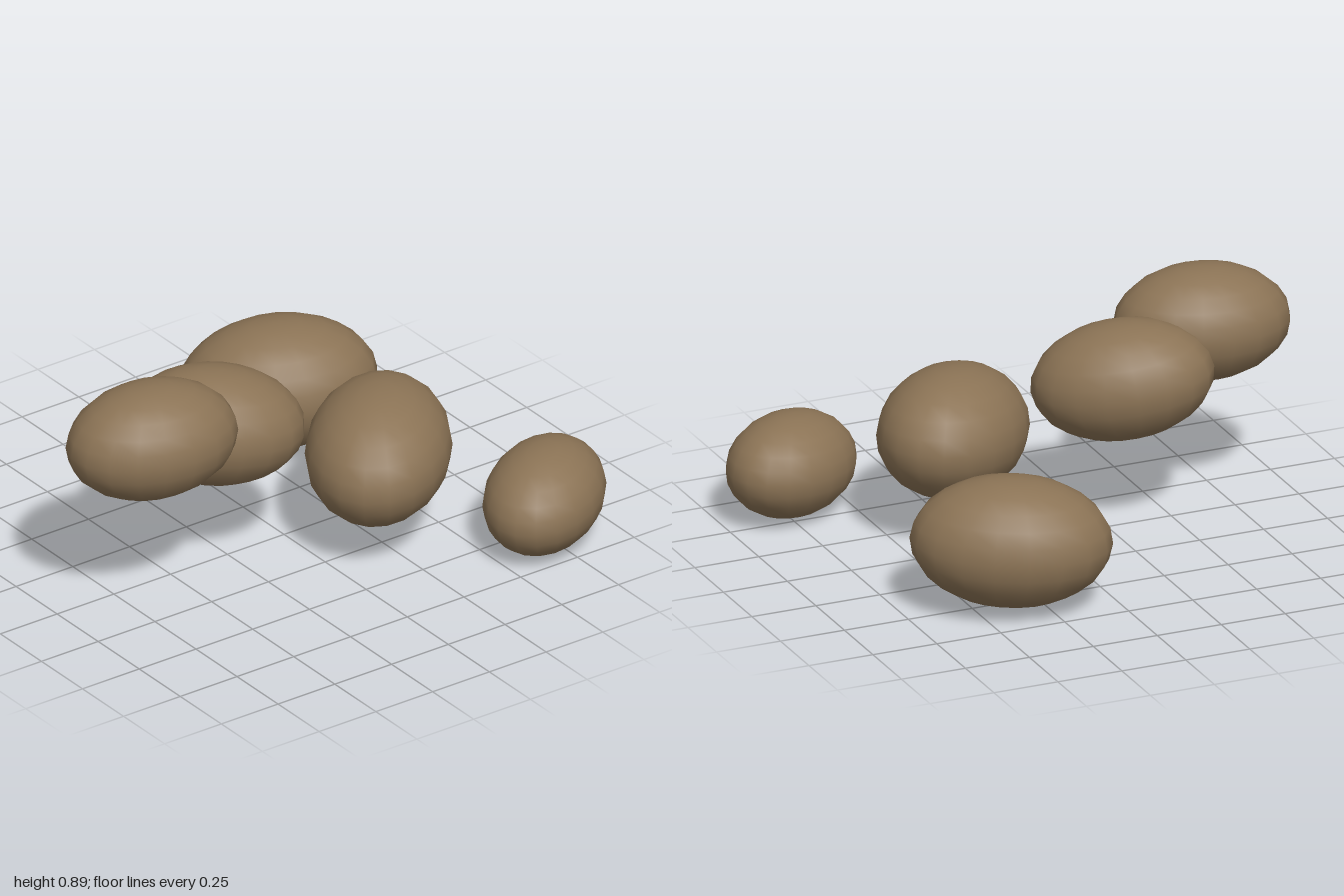
import * as THREE from 'three';

// One squashed pebble shape, repeated with its own place, size, yaw and tilt
const PEBBLES = [
  { pos: [-0.68, 0.678, 0.135], size: 0.325, yaw: -0.15, tilt: 0 },
  { pos: [-0.313, 0.563, 0.008], size: 0.332, yaw: -0.41, tilt: -0.15 },
  { pos: [0.25, 0.378, 0.23], size: 0.361, yaw: 0.8, tilt: 0.09 },
  { pos: [0.37, 0.265, -0.55], size: 0.364, yaw: -0.4, tilt: 0.04 },
  { pos: [0.725, 0.195, 0.583], size: 0.29, yaw: 0.58, tilt: 0.07 },
];

export function createModel() {
  const model = new THREE.Group();
  model.name = 'pebbles';

  const brown = new THREE.MeshStandardMaterial({ color: 0x8b7355 });
  brown.name = 'earthBrown';

  // Long in x, slightly flattened in y
  const shape = new THREE.SphereGeometry(1, 18, 12);
  shape.scale(1, 0.655, 0.725);

  PEBBLES.forEach(({ pos, size, yaw, tilt }, i) => {
    const pebble = new THREE.Mesh(shape, brown);
    pebble.name = `pebble${i + 1}`;
    pebble.position.set(...pos);
    pebble.rotation.set(0, yaw, tilt, 'YXZ');
    pebble.scale.setScalar(size);
    model.add(pebble);
  });

  return model;
}
